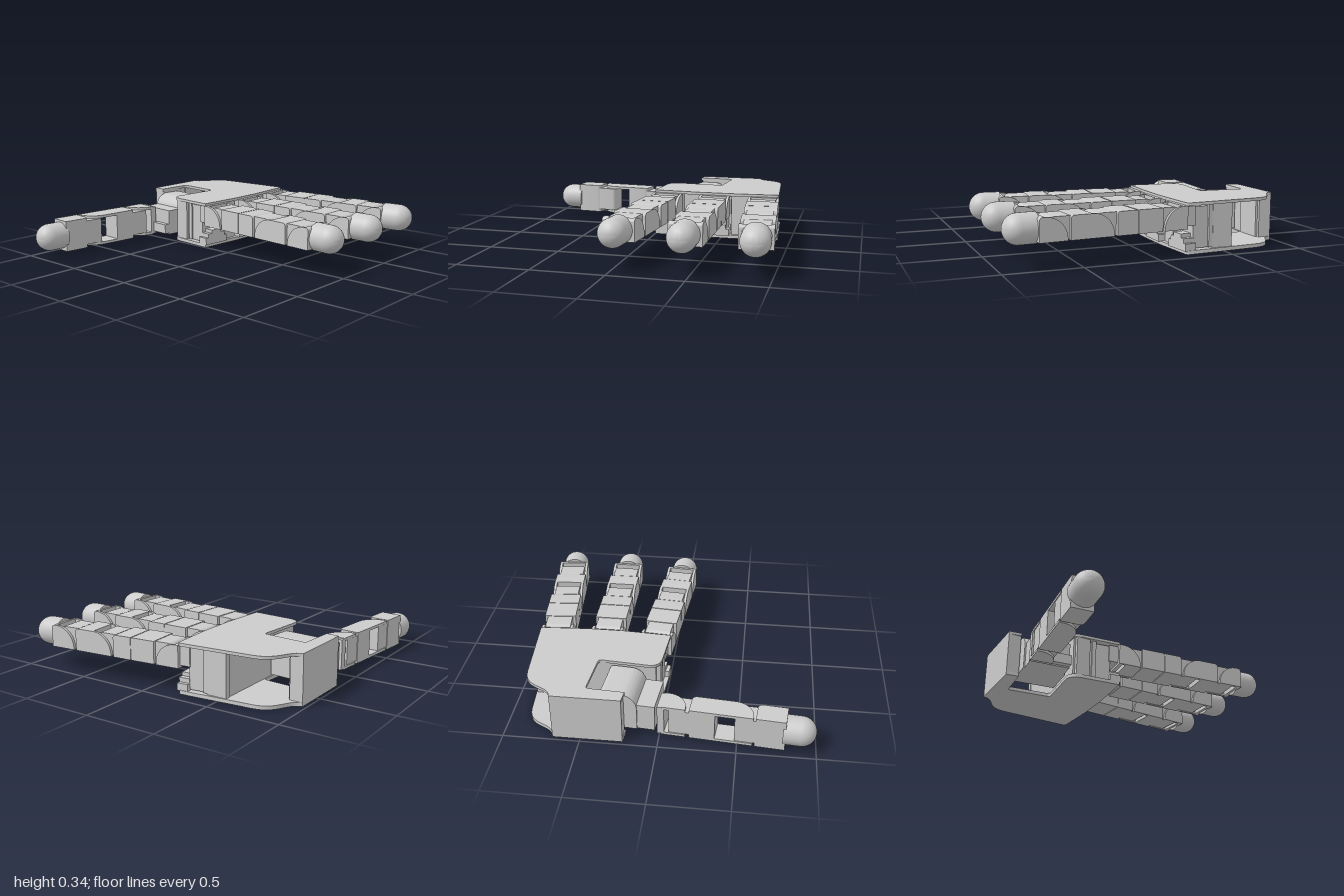
import * as THREE from 'three';
import { toCreasedNormals } from 'three/addons/utils/BufferGeometryUtils.js';

const mat = new THREE.MeshStandardMaterial({ color: 0xcccccc, side: THREE.DoubleSide });

function add(parent, name, geo) {
  const m = new THREE.Mesh(toCreasedNormals(geo, 0.5), mat);
  m.name = name;
  parent.add(m);
  return m;
}

// Box given by its minimum and maximum on each axis
function box(parent, name, x0, x1, y0, y1, z0, z1) {
  const g = new THREE.BoxGeometry(x1 - x0, y1 - y0, z1 - z0);
  g.translate((x0 + x1) / 2, (y0 + y1) / 2, (z0 + z1) / 2);
  return add(parent, name, g);
}

// Side profile with rounded top-left and top-right corners, extruded across z
function slab(parent, name, x0, x1, y0, y1, z0, z1, tl = 0, tr = 0) {
  const s = new THREE.Shape();
  s.moveTo(x0, y0);
  s.lineTo(x1, y0);
  s.lineTo(x1, y1 - tr);
  if (tr) s.absarc(x1 - tr, y1 - tr, tr, 0, Math.PI / 2, false);
  s.lineTo(x0 + tl, y1);
  if (tl) s.absarc(x0 + tl, y1 - tl, tl, Math.PI / 2, Math.PI, false);
  const g = new THREE.ExtrudeGeometry(s, { depth: z1 - z0, bevelEnabled: false, curveSegments: 10 });
  g.translate(0, 0, z0);
  return add(parent, name, g);
}

const H = 0.075, W = 0.11, T = 0.088; // half height, half width, half tongue width

const body = (p, name, x0, x1, tl = 0.02, tr = 0.02) => slab(p, name, x0, x1, -H, H, -W, W, tl, tr);
const tongue = (p, x0, x1, tl, tr) => slab(p, 'hingeTongue', x0, x1, -H + 0.004, H - 0.004, -T, T, tl, tr);

// Pair of hinge cheeks with one large rounded corner
function cheeks(p, x0, x1, tl, tr) {
  for (const s of [-1, 1]) {
    const a = s * T * 1.03, b = s * W;
    slab(p, 'hingeCheek', x0, x1, -H, H, Math.min(a, b), Math.max(a, b), tl, tr);
  }
}

function hingePin(p, x) {
  const g = new THREE.CylinderGeometry(0.02, 0.02, 2 * W - 0.01, 16);
  g.rotateX(Math.PI / 2);
  g.translate(x, 0, 0);
  add(p, 'hingePin', g);
}

// Round fingertip starting at x
function fingertip(p, x) {
  const r = 0.096, pts = [new THREE.Vector2(0, 0), new THREE.Vector2(r, 0)];
  for (let i = 0; i <= 12; i++) {
    const a = (i / 12) * Math.PI / 2;
    pts.push(new THREE.Vector2(i === 12 ? 0 : r * Math.cos(a), 0.109 + r * Math.sin(a)));
  }
  const g = new THREE.LatheGeometry(pts, 32);
  g.rotateZ(-Math.PI / 2);
  g.translate(x, 0, 0);
  add(p, 'fingertip', g);
}

// Four-link finger along +x
function makeFinger() {
  const f = new THREE.Group();
  f.name = 'finger';
  box(f, 'baseBar', 0, 0.03, -H, H, -W, W);
  cheeks(f, 0.02, 0.165, 0, 0.14);
  tongue(f, 0.057, 0.19, 0.03, 0);
  hingePin(f, 0.1);
  body(f, 'firstLinkRear', 0.18, 0.352, 0, 0);
  body(f, 'firstLinkFront', 0.358, 0.495, 0, 0.02);
  box(f, 'linkSeam', 0.35, 0.36, -H + 0.006, H - 0.006, -W + 0.004, W - 0.004);
  for (const [x, end, name] of [[0.515, 0.8, 'secondLink'], [0.82, 1.0, 'thirdLink']]) {
    tongue(f, x - 0.025, x + 0.115, 0, 0.03);
    hingePin(f, x + 0.07);
    cheeks(f, x, x + 0.15, 0.14, 0);
    body(f, name, x + 0.145, end, 0, 0.02);
  }
  fingertip(f, 0.985);
  return f;
}

// Shorter digit with a long open middle link
function makeThumb() {
  const t = new THREE.Group();
  t.name = 'thumb';
  box(t, 'baseBar', 0, 0.045, -H, H, -W + 0.005, W - 0.005);
  cheeks(t, 0.03, 0.18, 0, 0.13);
  tongue(t, 0.075, 0.22, 0.03, 0);
  hingePin(t, 0.12);
  body(t, 'middleLink', 0.205, 0.37, 0.03, 0);
  cheeks(t, 0.365, 0.61, 0, 0.13);
  tongue(t, 0.495, 0.64, 0.03, 0);
  hingePin(t, 0.55);
  body(t, 'outerLink', 0.625, 0.815, 0.03, 0);
  fingertip(t, 0.798);
  return t;
}

// Palm outline drawn as (x, -z), extruded upwards
function palmPlate(parent, name, y, h) {
  const s = new THREE.Shape();
  s.moveTo(-0.975, 0.68);
  s.bezierCurveTo(-0.87, 0.69, -0.91, 0.86, -0.74, 0.873);
  s.lineTo(-0.24, 0.912);
  s.quadraticCurveTo(-0.222, 0.912, -0.22, 0.89);
  s.lineTo(-0.2, 0.58);
  s.lineTo(-0.2, 0.33);
  s.lineTo(-0.22, 0);
  s.lineTo(-0.5, 0.022);
  s.quadraticCurveTo(-0.59, 0.03, -0.585, 0.11);
  s.lineTo(-0.56, 0.42);
  s.quadraticCurveTo(-0.56, 0.44, -0.58, 0.442);
  s.lineTo(-0.85, 0.465);
  s.quadraticCurveTo(-0.87, 0.465, -0.872, 0.445);
  s.lineTo(-0.885, 0.215);
  s.lineTo(-0.975, 0.225);
  const g = new THREE.ExtrudeGeometry(s, { depth: h, bevelEnabled: false, curveSegments: 12 });
  g.rotateX(-Math.PI / 2);
  g.translate(0, y, 0);
  add(parent, name, g);
}

export function createModel() {
  const hand = new THREE.Group();
  hand.name = 'roboticHand';

  // Palm shell
  const palm = new THREE.Group();
  palm.name = 'palm';
  hand.add(palm);
  palmPlate(palm, 'bottomPlate', 0, 0.025);
  palmPlate(palm, 'topPlate', 0.312, 0.02);
  box(palm, 'wristWall', -0.975, -0.885, 0.01, 0.325, -0.68, -0.225);
  box(palm, 'wristInnerWall', -0.89, -0.87, 0.01, 0.325, -0.66, -0.46);
  box(palm, 'bulkhead', -0.555, -0.53, 0.02, 0.315, -0.86, -0.06);
  box(palm, 'backPanel', -0.56, -0.42, 0.02, 0.315, -0.88, -0.84);
  box(palm, 'frontPanel', -0.54, -0.44, 0.02, 0.315, -0.07, -0.03);
  for (const z of [-0.63, -0.28]) box(palm, 'knucklePanel', -0.3, -0.23, 0.02, 0.315, z - 0.06, z + 0.06);

  // Fingers, each with its motor and knuckle
  for (const s of [-1, 0, 1]) {
    const row = new THREE.Group();
    row.name = ['backFingerUnit', 'middleFingerUnit', 'frontFingerUnit'][s + 1];
    row.position.set(s ? -0.215 : -0.2, 0, -0.455 + s * 0.35);
    row.rotation.y = -s * 0.085;
    hand.add(row);
    const finger = makeFinger();
    finger.position.y = 0.24;
    row.add(finger);
    box(row, 'motor', -0.31, -0.06, 0.03, 0.3, -0.075, 0.075);
    box(row, 'motorFlange', -0.2, -0.17, 0.03, 0.31, -0.09, 0.085);
    box(row, 'knuckleMount', -0.07, 0.005, 0.18, 0.305, -0.085, 0.085);
    [[0.105, 0.07], [0.08, 0.1], [0.045, 0.125]].forEach(([w, y]) =>
      box(row, 'steppedBracket', -0.065, 0.012, 0.02, y, -w, w));
  }

  // Thumb motor housing in the palm notch
  const mount = new THREE.Group();
  mount.name = 'thumbMount';
  mount.position.set(-0.725, 0, -0.25);
  mount.rotation.y = -0.085;
  hand.add(mount);
  const housing = slab(mount, 'motorHousing', -0.12, 0.13, 0.04, 0.3, -0.15, 0.15, 0.1, 0.04);
  housing.rotation.y = Math.PI / 2;
  box(mount, 'mountBlock', -0.14, 0.14, 0.04, 0.225, 0.08, 0.235);
  box(mount, 'mountFoot', 0.0, 0.14, 0.05, 0.12, 0.22, 0.275);
  const shaft = new THREE.CylinderGeometry(0.05, 0.05, 0.05, 24);
  shaft.rotateZ(Math.PI / 2);
  shaft.translate(0.165, 0.13, 0.0);
  add(mount, 'motorShaft', shaft);

  // Thumb points forward, hinging sideways
  const thumb = makeThumb();
  const a = 0.088, c = Math.cos(a), n = Math.sin(a);
  thumb.applyMatrix4(new THREE.Matrix4().makeBasis(
    new THREE.Vector3(-n, 0, c), new THREE.Vector3(c, 0, n), new THREE.Vector3(0, 1, 0)));
  thumb.position.set(-0.822, 0.135, -0.005);
  hand.add(thumb);

  return hand;
}
